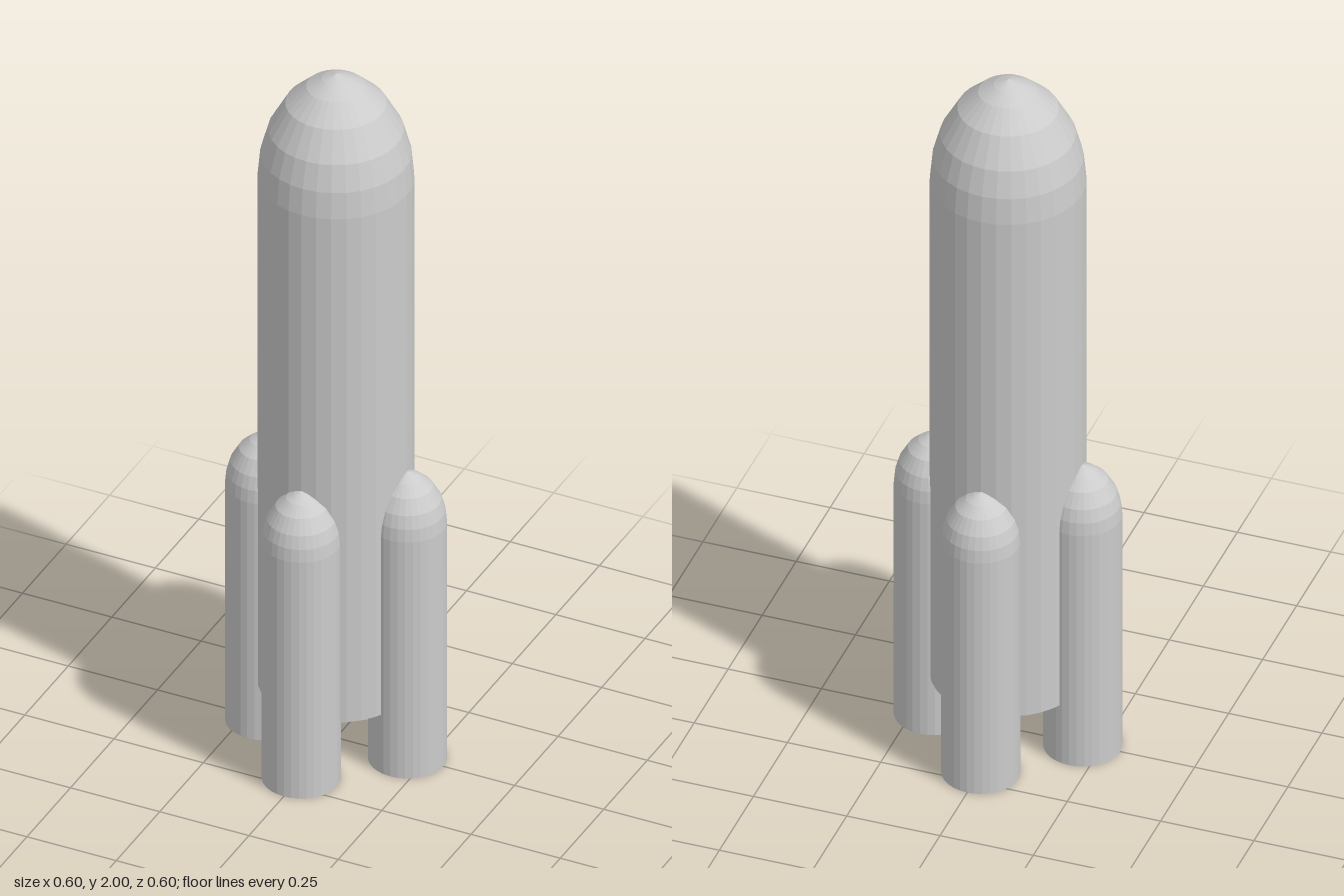
import * as THREE from 'three';

const SEGMENTS = 32;

// Pointed nose: [radius fraction, height fraction] from shoulder to tip
const NOSE = [[1, 0], [0.965, 0.24], [0.865, 0.47], [0.645, 0.72], [0.38, 0.88], [0.18, 0.955], [0, 1]];

const nosePoints = (radius, shoulder, tip) =>
  NOSE.map(([r, h]) => [r * radius, shoulder + h * (tip - shoulder)]);

function lathe(name, points, material) {
  const profile = points.map(([r, y]) => new THREE.Vector2(r, y));
  const mesh = new THREE.Mesh(new THREE.LatheGeometry(profile, SEGMENTS), material);
  mesh.name = name;
  return mesh;
}

export function createModel() {
  const model = new THREE.Group();
  model.name = 'rocket';
  const material = new THREE.MeshStandardMaterial({ color: 0xcccccc, flatShading: true });

  // Main stage with a closed flat base
  model.add(lathe('coreStage', [[0, 0.175], [0.198, 0.175], ...nosePoints(0.198, 1.69, 2)], material));

  // Four boosters with hollow lower ends, set around the core
  for (let i = 0; i < 4; i++) {
    const angle = (i * Math.PI) / 2;
    const booster = lathe('booster' + (i + 1), [
      [0, 0.175], [0.078, 0.175], [0.078, 0], [0.1, 0],
      ...nosePoints(0.1, 0.71, 0.86),
    ], material);
    booster.position.set(0.2 * Math.sin(angle), 0, 0.2 * Math.cos(angle));
    model.add(booster);
  }
  return model;
}
